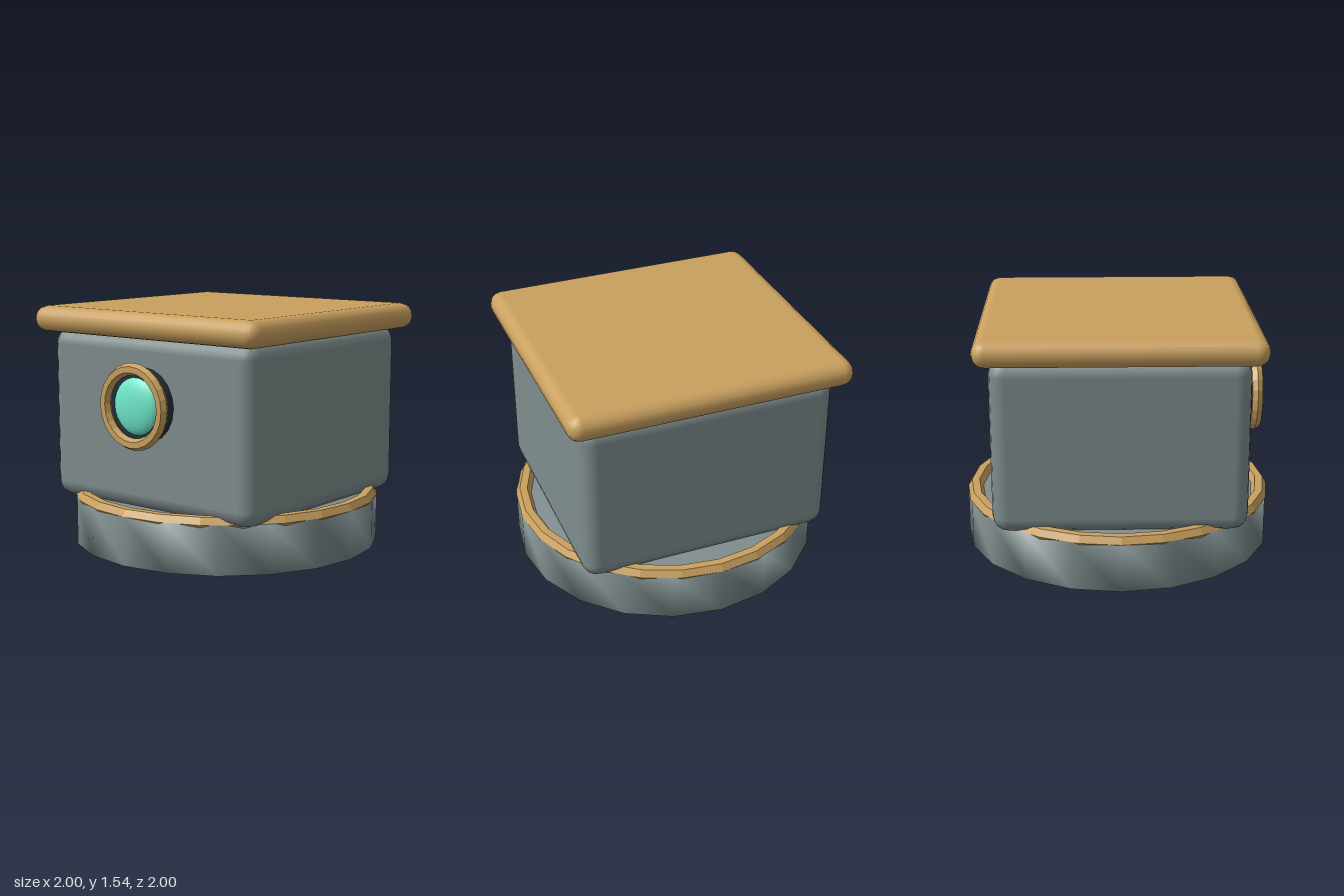
import * as THREE from 'three';
import { mergeVertices } from 'three/addons/utils/BufferGeometryUtils.js';
import { RoundedBoxGeometry } from 'three/addons/geometries/RoundedBoxGeometry.js';

export function createModel() {
  const model = new THREE.Group();
  const mat = (color, flatShading = false) => new THREE.MeshStandardMaterial({ color, flatShading });
  const stone = mat(0x7f8c8d);
  const brass = mat(0xc9a05f);
  const brassFlat = mat(0xc9a05f, true);
  const dark = mat(0x22303a);
  const glass = mat(0x6fe8cc);

  const add = (name, geometry, material, x, y, z) => {
    const mesh = new THREE.Mesh(geometry, material);
    mesh.name = name;
    mesh.position.set(x, y, z);
    model.add(mesh);
    return mesh;
  };

  // Round base: a 20-sided drum with normals blended over its rims
  const outline = new THREE.Shape(Array.from({ length: 20 }, (_, i) => {
    const a = (i / 20) * Math.PI * 2;
    return new THREE.Vector2(Math.cos(a), Math.sin(a));
  }));
  let drum = new THREE.ExtrudeGeometry(outline, { depth: 0.31, bevelEnabled: false });
  drum.deleteAttribute('uv');
  drum.deleteAttribute('normal');
  drum = mergeVertices(drum, 1e-4);
  drum.rotateX(-Math.PI / 2);
  drum.computeVertexNormals();
  add('base', drum, stone, 0, 0, 0);

  // Six-sided trim around the top of the base
  add('baseRing', new THREE.TorusGeometry(0.95, 0.05, 6, 24).rotateX(Math.PI / 2), brassFlat, 0, 0.31, 0);

  // Body and overhanging lid
  add('body', new RoundedBoxGeometry(1.64, 1.1, 1.58, 2, 0.1), stone, 0, 0.85, 0);
  add('lid', new RoundedBoxGeometry(1.82, 0.166, 1.76, 2, 0.082), brass, 0, 1.459, 0);

  // Round window on the front: tube, rim and domed glass
  const windowY = 0.973;
  add('windowTube', new THREE.CylinderGeometry(0.232, 0.232, 0.14, 20).rotateX(Math.PI / 2), dark, 0, windowY, 0.80);
  add('windowRim', new THREE.TorusGeometry(0.232, 0.038, 6, 24), brassFlat, 0, windowY, 0.892);
  add('windowGlass', new THREE.SphereGeometry(0.18, 20, 14), glass, 0, windowY, 0.86).scale.z = 0.33;

  return model;
}
